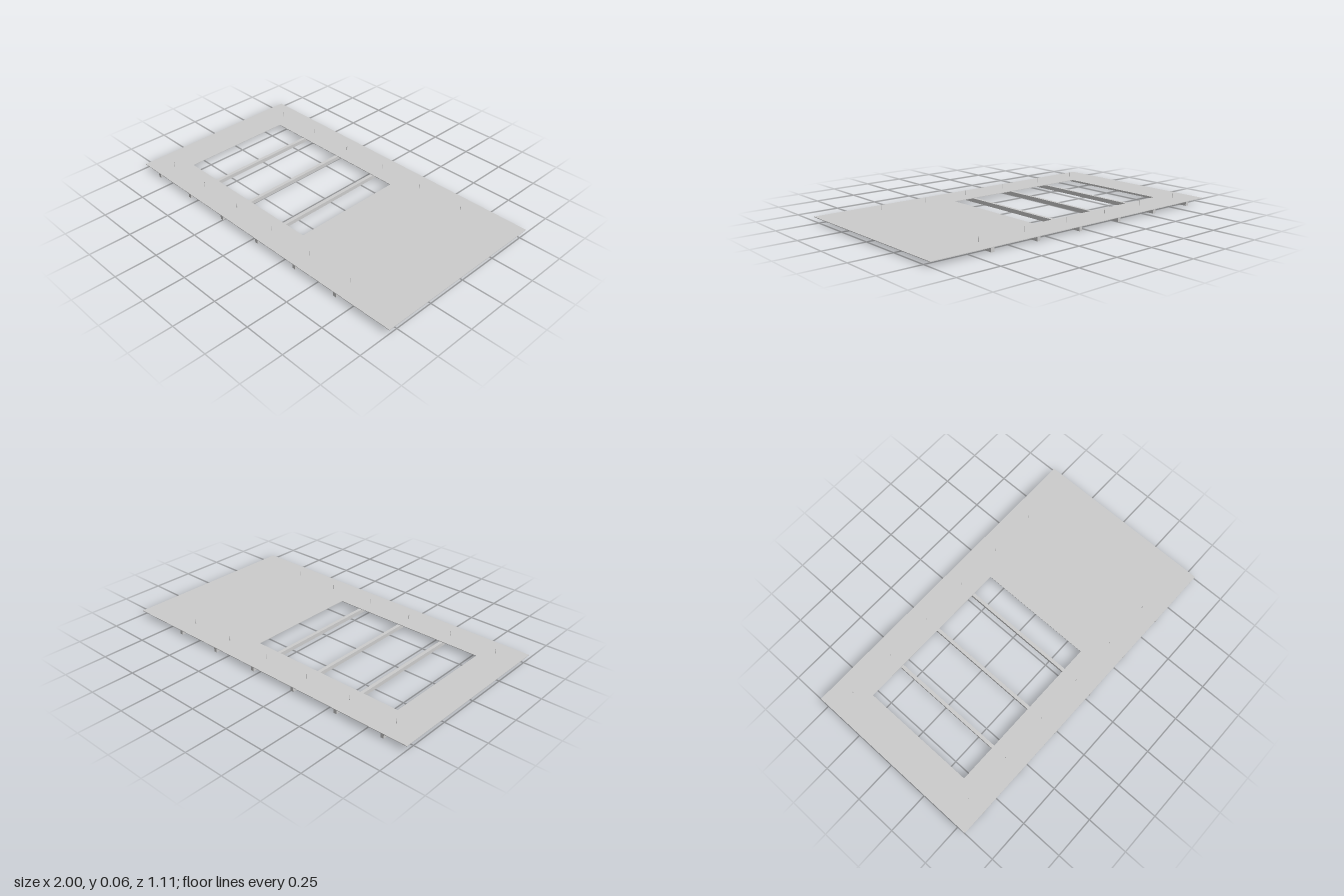
import * as THREE from 'three';

export function createModel() {
  const model = new THREE.Group();
  const material = new THREE.MeshStandardMaterial({ color: 0xcccccc });
  const halfDepth = 0.553, beamHeight = 0.0235, sheetThickness = 0.003;
  const deckTop = beamHeight + sheetThickness, pinTop = 0.056;

  const add = (name, geometry, x, y, z) => {
    const mesh = new THREE.Mesh(geometry, material);
    mesh.name = name;
    mesh.position.set(x, y, z);
    model.add(mesh);
    return mesh;
  };
  const rectangle = (path, x0, x1, halfZ) => path
    .moveTo(x0, -halfZ).lineTo(x1, -halfZ).lineTo(x1, halfZ).lineTo(x0, halfZ).closePath();

  // Thin deck sheet with a rectangular opening
  const outline = rectangle(new THREE.Shape(), -1, 1, halfDepth);
  outline.holes.push(rectangle(new THREE.Path(), -0.79, 0.19, 0.351));
  const sheet = new THREE.ExtrudeGeometry(outline, { depth: sheetThickness, bevelEnabled: false });
  sheet.rotateX(-Math.PI / 2);
  add('deckSheet', sheet, 0, beamHeight, 0);

  // Support beams under the deck, each with two upright pins through the sheet
  const beam = new THREE.BoxGeometry(0.02, beamHeight, halfDepth * 2);
  const pin = new THREE.CylinderGeometry(0.0016, 0.0016, pinTop - deckTop, 8);
  for (let i = 0; i < 6; i++) {
    const x = -0.854 + i * 0.298;
    add('supportBeam', beam, x, beamHeight / 2, 0);
    for (const side of [-1, 1]) add('fixingPin', pin, x, (pinTop + deckTop) / 2, side * 0.443);
  }
  return model;
}
